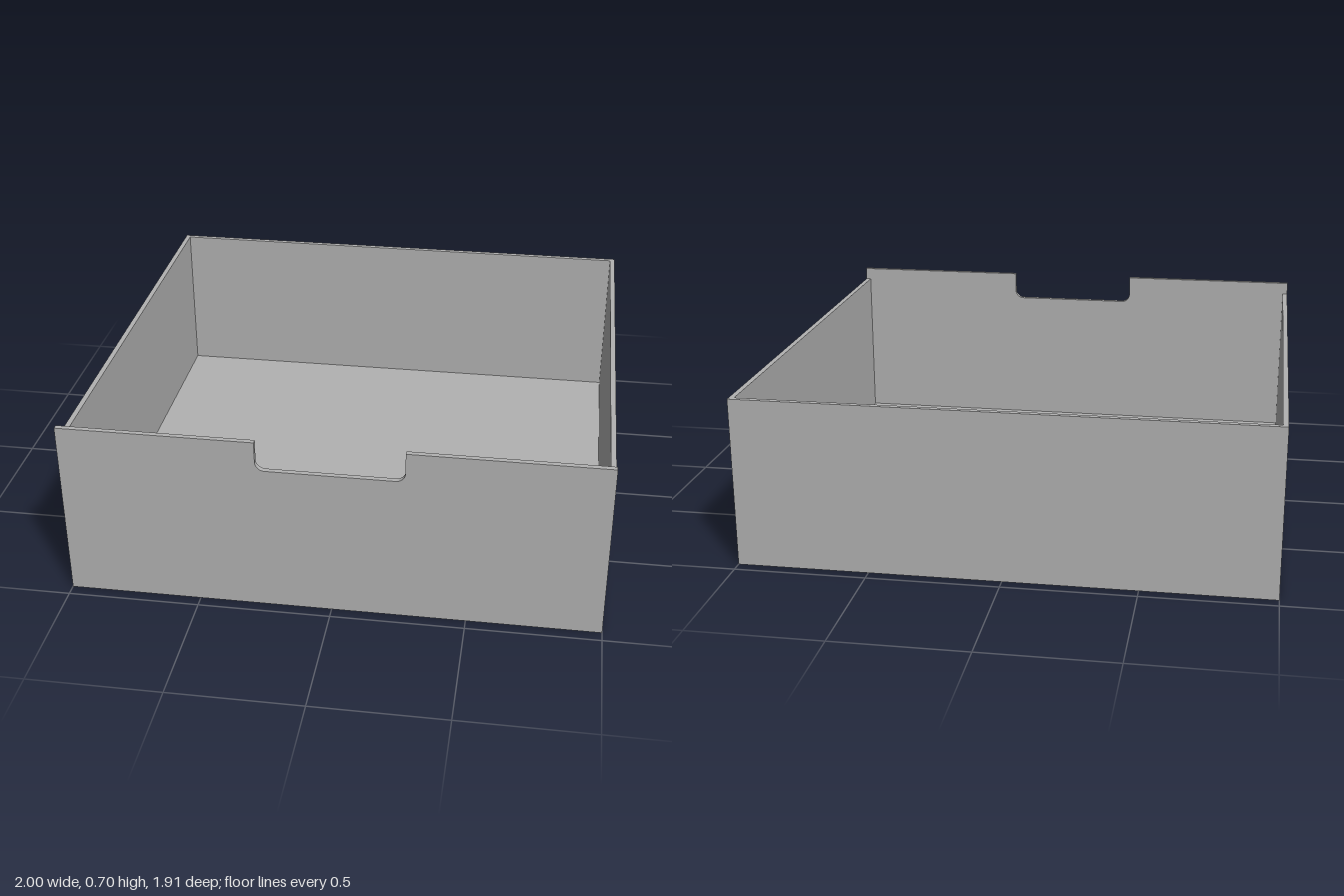
import * as THREE from 'three';

const W = 2, D = 1.91, T = 0.02;        // outer width, depth, wall thickness
const WALL_H = 0.65, FRONT_H = 0.70;    // side/back and front heights
const NOTCH_X = 0.27, NOTCH_Y = 0.585, NOTCH_R = 0.035;

export function createModel() {
  const group = new THREE.Group();
  group.name = 'openDrawerBox';
  const grey = new THREE.MeshStandardMaterial({ color: 0xb2b2b2 });
  grey.name = 'plain grey';

  const add = (name, geometry, x, y, z) => {
    const mesh = new THREE.Mesh(geometry, grey);
    mesh.name = name;
    mesh.position.set(x, y, z);
    group.add(mesh);
  };

  // Floor panel, set between the walls
  add('floor', new THREE.BoxGeometry(W - 2 * T, T, D - 2 * T), 0, T / 2, 0);

  // Back wall and the two side walls
  add('backWall', new THREE.BoxGeometry(W, WALL_H, T), 0, WALL_H / 2, -(D - T) / 2);
  for (const [name, s] of [['leftWall', 1], ['rightWall', -1]]) {
    add(name, new THREE.BoxGeometry(T, WALL_H, D - 2 * T), s * (W - T) / 2, WALL_H / 2, 0);
  }

  // Taller front wall with a finger notch that has rounded lower corners
  const front = new THREE.Shape();
  front.moveTo(-W / 2, 0);
  front.lineTo(W / 2, 0);
  front.lineTo(W / 2, FRONT_H);
  front.lineTo(NOTCH_X, FRONT_H);
  front.lineTo(NOTCH_X, NOTCH_Y + NOTCH_R);
  front.absarc(NOTCH_X - NOTCH_R, NOTCH_Y + NOTCH_R, NOTCH_R, 0, -Math.PI / 2, true);
  front.absarc(-NOTCH_X + NOTCH_R, NOTCH_Y + NOTCH_R, NOTCH_R, -Math.PI / 2, -Math.PI, true);
  front.lineTo(-NOTCH_X, FRONT_H);
  front.lineTo(-W / 2, FRONT_H);
  front.closePath();
  add('frontWall',
    new THREE.ExtrudeGeometry(front, { depth: T, bevelEnabled: false, curveSegments: 10 }),
    0, 0, D / 2 - T);

  return group;
}
